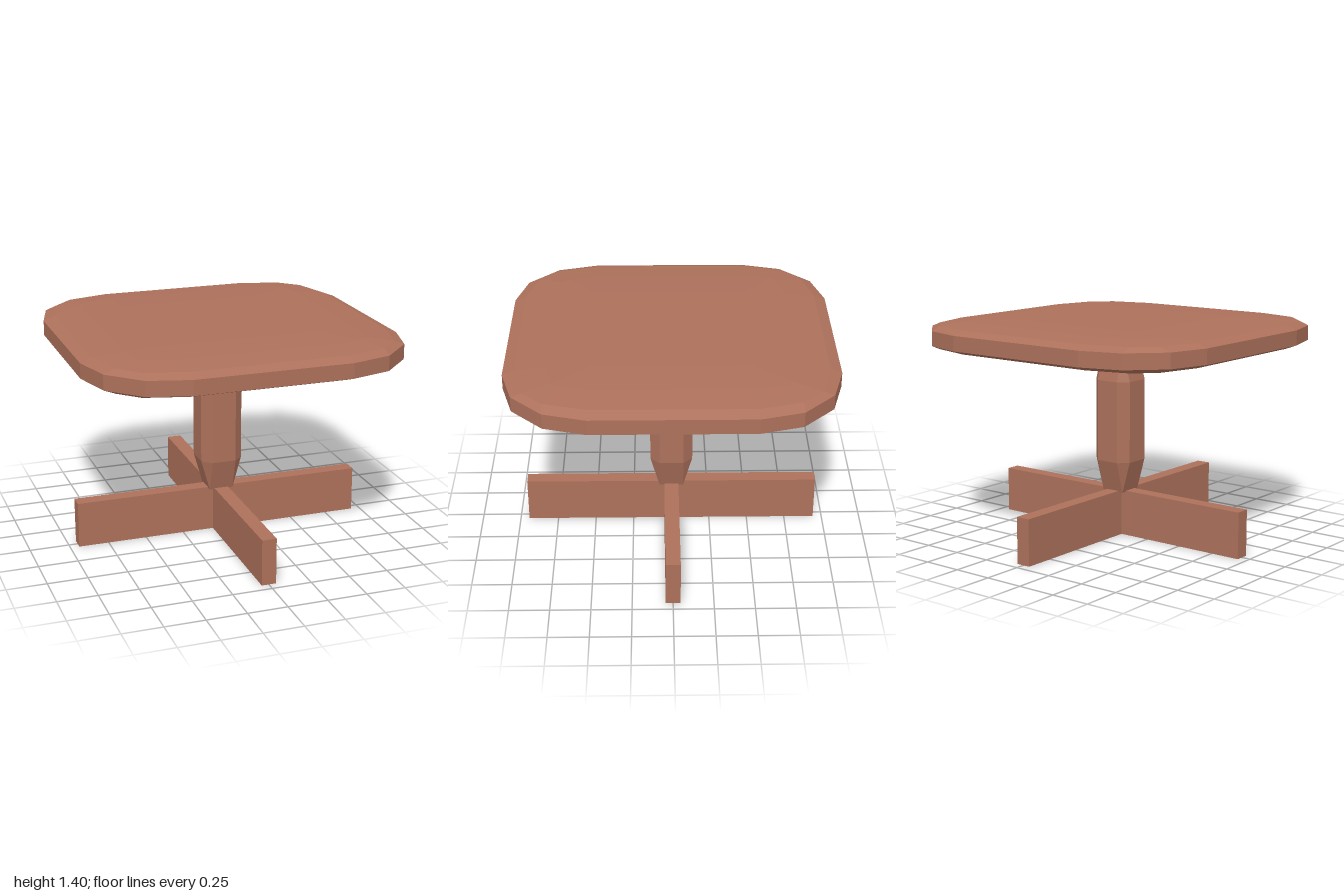
import * as THREE from 'three';

const material = new THREE.MeshStandardMaterial({ color: 0xad715b, flatShading: true });

// Repeats one quarter of an outline [x, z] around the y axis
function ring(y, quarter) {
  const points = [];
  for (let k = 0; k < 4; k++) {
    for (const [x, z] of quarter) {
      let px = x, pz = z;
      for (let n = 0; n < k; n++) [px, pz] = [-pz, px];
      points.push(new THREE.Vector3(px, y, pz));
    }
  }
  return points;
}

// Skins a stack of rings, listed from bottom to top, and caps both ends
function loft(rings) {
  const positions = [];
  const area = new THREE.Triangle();
  const tri = (a, b, c) => {
    if (area.set(a, b, c).getArea() < 1e-7) return;
    for (const p of [a, b, c]) positions.push(p.x, p.y, p.z);
  };
  const first = rings[0], last = rings[rings.length - 1], n = first.length;
  const bottom = new THREE.Vector3(0, first[0].y, 0);
  const top = new THREE.Vector3(0, last[0].y, 0);
  for (let i = 0; i < n; i++) {
    const j = (i + 1) % n;
    for (let k = 0; k < rings.length - 1; k++) {
      const lo = rings[k], up = rings[k + 1];
      tri(lo[i], up[i], up[j]);
      tri(lo[i], up[j], lo[j]);
    }
    tri(bottom, first[i], first[j]);
    tri(top, last[j], last[i]);
  }
  const geometry = new THREE.BufferGeometry();
  geometry.setAttribute('position', new THREE.Float32BufferAttribute(positions, 3));
  geometry.computeVertexNormals();
  return geometry;
}

function part(name, geometry) {
  const mesh = new THREE.Mesh(geometry, material);
  mesh.name = name;
  return mesh;
}

// Rounded square top, softly domed above and below: [reach, side end, corner a, corner b, half height]
function tabletop() {
  const centre = 1.303;
  const levels = [
    [0.48, 0.48, 0.48, 0.48, 0.097],
    [0.74, 0.48, 0.66, 0.70, 0.09],
    [0.93, 0.48, 0.74, 0.86, 0.073],
    [1.0, 0.485, 0.74, 0.93, 0.047],
  ];
  const level = ([r, s, a, b, h], sign) =>
    ring(centre + sign * h, [[r, s], [b, a], [a, b], [s, r]]);
  const under = levels.map((l) => level(l, -1));
  const over = levels.map((l) => level(l, 1)).reverse();
  return part('tabletop', loft([...under, ...over]));
}

// Chamfered post that narrows to a square at both ends
function pedestal() {
  const end = 0.077, wide = 0.135;
  const section = (y, r) => ring(y, [[r, end], [end, r]]);
  return part('pedestal', loft([
    section(0.285, end), section(0.49, wide), section(1.01, wide), section(1.215, end),
  ]));
}

// Crossed floor beams as a single plus-shaped block
function crossBase() {
  const reach = 0.943, half = 0.046, height = 0.293;
  const plus = ring(0, [[reach, -half], [reach, half], [half, half]])
    .map((p) => new THREE.Vector2(p.x, p.z));
  const geometry = new THREE.ExtrudeGeometry(new THREE.Shape(plus), { depth: height, bevelEnabled: false });
  geometry.rotateX(-Math.PI / 2);
  return part('crossBase', geometry);
}

export function createModel() {
  const model = new THREE.Group();
  model.name = 'pedestalTable';
  model.add(tabletop(), pedestal(), crossBase());
  return model;
}
